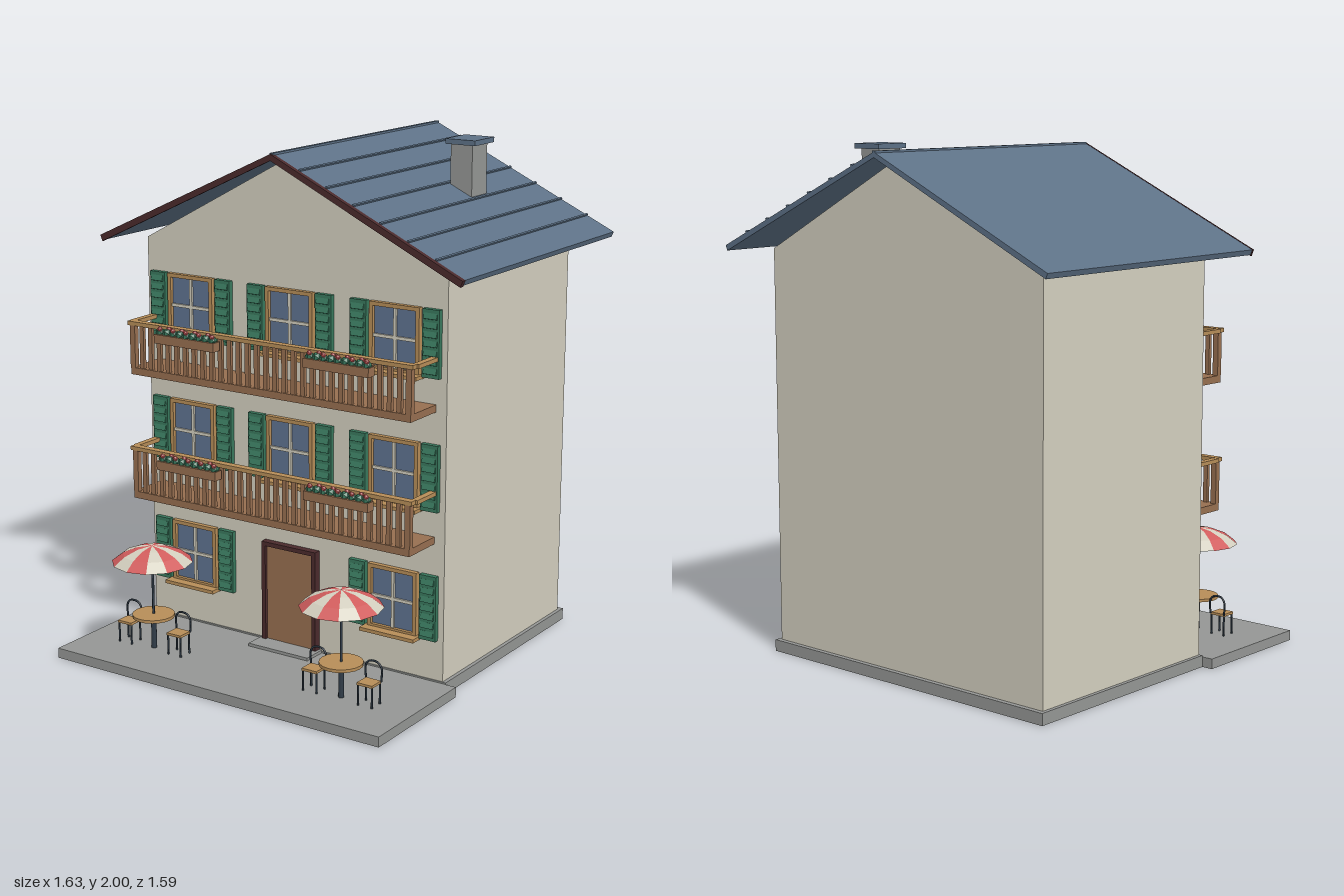
import * as THREE from 'three';

const mat = (name, color, side = THREE.FrontSide) => {
  const m = new THREE.MeshStandardMaterial({ color, side });
  m.name = name;
  return m;
};

export function createModel() {
  const plaster = mat('cream plaster', 0xd3cfbf, THREE.DoubleSide);
  const slate = mat('blue slate', 0x5d7186);
  const stone = mat('grey stone', 0x949694);
  const wood = mat('brown wood', 0x976f50);
  const tan = mat('light wood', 0xb68d58);
  const darkWood = mat('dark red wood', 0x4a2a2c);
  const glass = mat('window glass', 0x5f7290);
  const green = mat('green', 0x39785d);
  const red = mat('red', 0xd05c5c, THREE.DoubleSide);
  const metal = mat('dark metal', 0x303c48);

  const house = new THREE.Group();
  house.name = 'house';

  const add = (parent, name, geo, material, x = 0, y = 0, z = 0) => {
    const m = new THREE.Mesh(geo, material);
    m.name = name;
    m.position.set(x, y, z);
    parent.add(m);
    return m;
  };
  const group = (parent, name, x = 0, y = 0, z = 0) => {
    const g = new THREE.Group();
    g.name = name;
    g.position.set(x, y, z);
    parent.add(g);
    return g;
  };
  // Box given by its limits on each axis
  const span = (parent, name, material, x0, x1, y0, y1, z0, z1) =>
    add(parent, name, new THREE.BoxGeometry(x1 - x0, y1 - y0, z1 - z0), material,
      (x0 + x1) / 2, (y0 + y1) / 2, (z0 + z1) / 2);
  // Outline in x,y pushed from z0 to z1
  const prism = (parent, name, material, pts, z0, z1) => {
    const shape = new THREE.Shape(pts.map(p => new THREE.Vector2(...p)));
    return add(parent, name, new THREE.ExtrudeGeometry(shape, { depth: z1 - z0, bevelEnabled: false }), material, 0, 0, z0);
  };

  const FRONT = 0.256;

  // Ground slabs and walls with gables
  span(house, 'terrace', stone, -0.745, 0.745, 0, 0.04, 0.26, 0.795);
  span(house, 'plinth', stone, -0.7, 0.7, 0, 0.046, -0.685, 0.26);
  span(house, 'doorStep', stone, -0.14, 0.14, 0.04, 0.052, 0.26, 0.36);
  prism(house, 'walls', plaster,
    [[-0.685, 0.046], [0.685, 0.046], [0.685, 1.6], [0, 1.968], [-0.685, 1.6]], -0.665, FRONT);

  // Roof halves with front barge boards
  const slope = 0.463;
  for (const s of [-1, 1]) {
    const outline = (top, thick, end) => [
      [0, top], [s * end, top - slope * end],
      [s * (end - thick * 0.4), top - slope * end - thick], [0, top - thick]];
    const split = s > 0 ? 0.366 : 0.378;
    prism(house, 'roofHalf', slate, outline(1.99, 0.02, 0.815), -0.795, split);
    prism(house, 'bargeBoard', darkWood, outline(1.991, 0.024, 0.817), split, 0.386);
  }
  for (let i = 1; i <= 6; i++) {
    const x = i * 0.116;
    const seam = add(house, 'roofSeam', new THREE.BoxGeometry(0.008, 0.01, 1.16), slate, x, 1.992 - slope * x, -0.214);
    seam.rotation.z = -Math.atan(slope);
  }
  span(house, 'ridgeCap', slate, -0.008, 0.008, 1.978, 1.994, -0.795, 0.378);

  // Chimney
  span(house, 'chimney', stone, 0.355, 0.45, 1.74, 1.98, -0.418, -0.305);
  span(house, 'chimneyCap', slate, 0.34, 0.47, 1.98, 2.0, -0.436, -0.289);

  // Windows with shutters
  const addWindow = (x, y) => {
    const w = group(house, 'window', x, y, FRONT);
    span(w, 'glass', glass, -0.095, 0.095, 0.01, 0.245, 0, 0.006);
    for (const s of [-1, 1]) {
      span(w, 'frameSide', tan, s * 0.1 - 0.008, s * 0.1 + 0.008, 0, 0.255, 0, 0.02);
      const sh = group(w, 'shutter', s * 0.157, 0, 0);
      span(sh, 'shutterPanel', green, -0.036, 0.036, 0, 0.255, 0, 0.02);
      for (let i = 0; i < 7; i++) {
        const slat = add(sh, 'slat', new THREE.BoxGeometry(0.056, 0.022, 0.008), green, 0, 0.026 + i * 0.034, 0.022);
        slat.rotation.x = -0.35;
      }
    }
    span(w, 'frameTop', tan, -0.092, 0.092, 0.24, 0.255, 0, 0.02);
    span(w, 'frameBottom', tan, -0.092, 0.092, 0, 0.015, 0, 0.02);
    span(w, 'uprightBar', plaster, -0.006, 0.006, 0.015, 0.24, 0.004, 0.014);
    span(w, 'crossBar', plaster, -0.092, 0.092, 0.123, 0.135, 0.004, 0.014);
    span(w, 'sill', tan, -0.12, 0.12, -0.008, 0.006, 0, 0.058);
  };
  for (const y of [0.205, 0.71, 1.215])
    for (const x of [-0.468, 0, 0.468])
      if (x !== 0 || y > 0.5) addWindow(x, y);

  // Front door
  const door = group(house, 'door', 0, 0.046, FRONT);
  span(door, 'doorLeaf', wood, -0.11, 0.11, 0, 0.395, 0, 0.018);
  for (const s of [-1, 1])
    span(door, 'doorJamb', darkWood, s * 0.118 - 0.009, s * 0.118 + 0.009, 0, 0.41, 0, 0.03);
  span(door, 'doorLintel', darkWood, -0.109, 0.109, 0.393, 0.41, 0, 0.03);
  add(door, 'doorKnob', new THREE.SphereGeometry(0.008, 10, 8), tan, 0.073, 0.195, 0.024);

  // Flower box with alternating leaves and blossoms
  const addFlowerBox = (parent, x) => {
    const f = group(parent, 'flowerBox', x, 0, 0);
    span(f, 'planter', wood, -0.142, 0.142, 0.152, 0.187, 0.436, 0.476);
    for (let i = 0; i < 9; i++) {
      const fx = -0.124 + i * 0.031;
      add(f, 'leaves', new THREE.IcosahedronGeometry(0.019, 0), green, fx, 0.193, 0.456);
      add(f, 'blossom', new THREE.IcosahedronGeometry(0.011, 0), red, fx + 0.004, 0.208, i % 2 ? 0.449 : 0.465);
    }
  };

  // Balconies
  for (const y of [0.582, 1.087]) {
    const b = group(house, 'balcony', 0, y, 0);
    span(b, 'balconyFloor', wood, -0.64, 0.64, 0, 0.028, FRONT, 0.432);
    span(b, 'frontRail', tan, -0.65, 0.65, 0.196, 0.212, 0.405, 0.436);
    for (const s of [-1, 1]) {
      span(b, 'sideRail', tan, s * 0.644 - 0.013, s * 0.644 + 0.013, 0.195, 0.211, FRONT, 0.408);
      span(b, 'cornerPost', wood, s * 0.63 - 0.012, s * 0.63 + 0.012, 0.028, 0.196, 0.41, 0.432);
      addFlowerBox(b, s * 0.346);
    }
    for (let i = 1; i < 30; i++)
      add(b, 'baluster', new THREE.BoxGeometry(0.019, 0.168, 0.014), wood, -0.63 + i * 0.042, 0.112, 0.421);
  }

  // Chair facing the front, arched back behind
  const addChair = (parent, x) => {
    const c = group(parent, 'chair', x, 0, 0);
    span(c, 'chairSeat', tan, -0.033, 0.033, 0.08, 0.09, -0.03, 0.032);
    for (const lx of [-0.03, 0.03])
      for (const lz of [-0.027, 0.027])
        add(c, 'chairLeg', new THREE.CylinderGeometry(0.004, 0.004, 0.08, 6), metal, lx, 0.04, lz);
    const arch = new THREE.CatmullRomCurve3([[-0.033, 0.085], [-0.035, 0.135], [-0.02, 0.157], [0.02, 0.157], [0.035, 0.135], [0.033, 0.085]]
      .map(p => new THREE.Vector3(p[0], p[1], -0.031)));
    add(c, 'chairBack', new THREE.TubeGeometry(arch, 20, 0.004, 6), metal);
  };

  // Striped parasol over a round table with two chairs
  const ribs = 12;
  const canopy = [[0.001, 0.42], [0.06, 0.411], [0.115, 0.389], [0.158, 0.356]].map(p => new THREE.Vector2(...p)).reverse();
  for (const s of [-1, 1]) {
    const t = group(house, 'terraceSet', s * 0.44, 0.04, 0.575);
    for (let i = 0; i < ribs; i++) {
      const step = Math.PI * 2 / ribs;
      const geo = new THREE.LatheGeometry(canopy, 1, i * step, step).toNonIndexed();
      geo.computeVertexNormals();
      add(t, 'canopyPanel', geo, i % 2 ? plaster : red);
    }
    add(t, 'parasolPole', new THREE.CylinderGeometry(0.005, 0.005, 0.415, 8), metal, 0, 0.2075, 0);
    add(t, 'tableLeg', new THREE.CylinderGeometry(0.011, 0.011, 0.13, 10), metal, 0, 0.065, 0);
    add(t, 'tableTop', new THREE.CylinderGeometry(0.083, 0.083, 0.012, 20), tan, 0, 0.135, 0);
    for (const c of [-1, 1]) addChair(t, c * 0.122);
  }

  return house;
}
